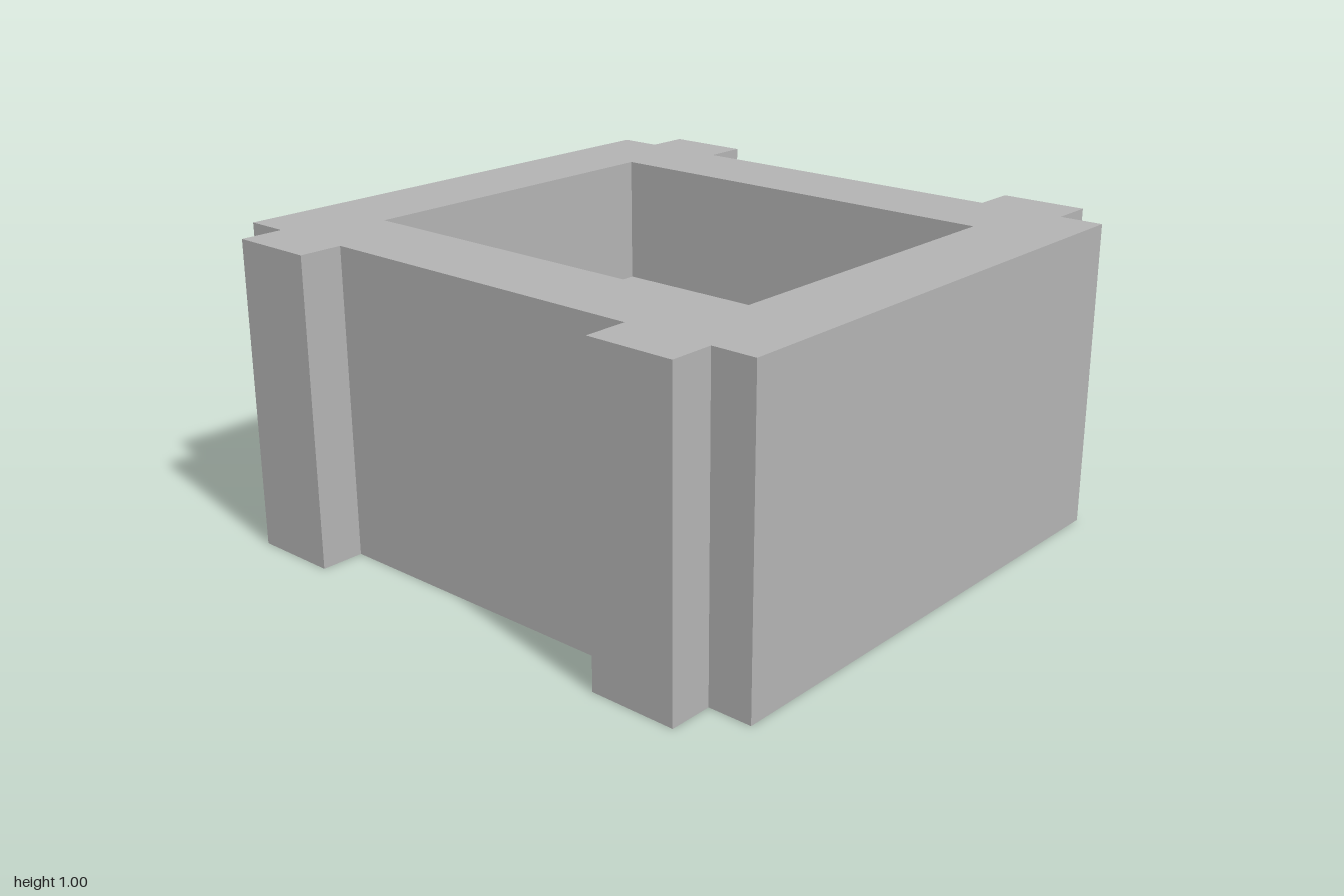
import * as THREE from 'three';

export function createModel() {
  const model = new THREE.Group();
  model.name = 'recessedBlock';
  const grey = new THREE.MeshStandardMaterial({ color: 0xb2b2b2 });
  grey.name = 'grey';

  const u = 1 / 7; // layout module
  const floorY = 3 / 7 + u; // height of the recess floor

  // Plan outline: a slab with two tabs on the front and two on the back
  const quarter = [[4, 6], [4, 7], [6, 7], [6, 6], [7, 6]];
  const reversed = [...quarter].reverse();
  const outline = [
    ...reversed,
    ...quarter.map(([x, z]) => [-x, z]),
    ...reversed.map(([x, z]) => [-x, -z]),
    ...quarter.map(([x, z]) => [x, -z]),
  ].map(([x, z]) => new THREE.Vector2(x * u, z * u));

  // Upright prism from a plan shape
  function prism(name, shape, y, height) {
    const geometry = new THREE.ExtrudeGeometry(shape, { depth: height, bevelEnabled: false });
    geometry.rotateX(-Math.PI / 2);
    const mesh = new THREE.Mesh(geometry, grey);
    mesh.name = name;
    mesh.position.y = y;
    model.add(mesh);
  }

  // Solid base, whose top is the recess floor
  prism('base', new THREE.Shape(outline), 0, floorY);

  // Walls around the rectangular recess
  const walls = new THREE.Shape(outline);
  walls.holes.push(new THREE.Path(
    [[-5, -4], [-5, 4], [5, 4], [5, -4]].map(([x, z]) => new THREE.Vector2(x * u, z * u))
  ));
  prism('walls', walls, floorY, 1 - floorY);

  return model;
}
